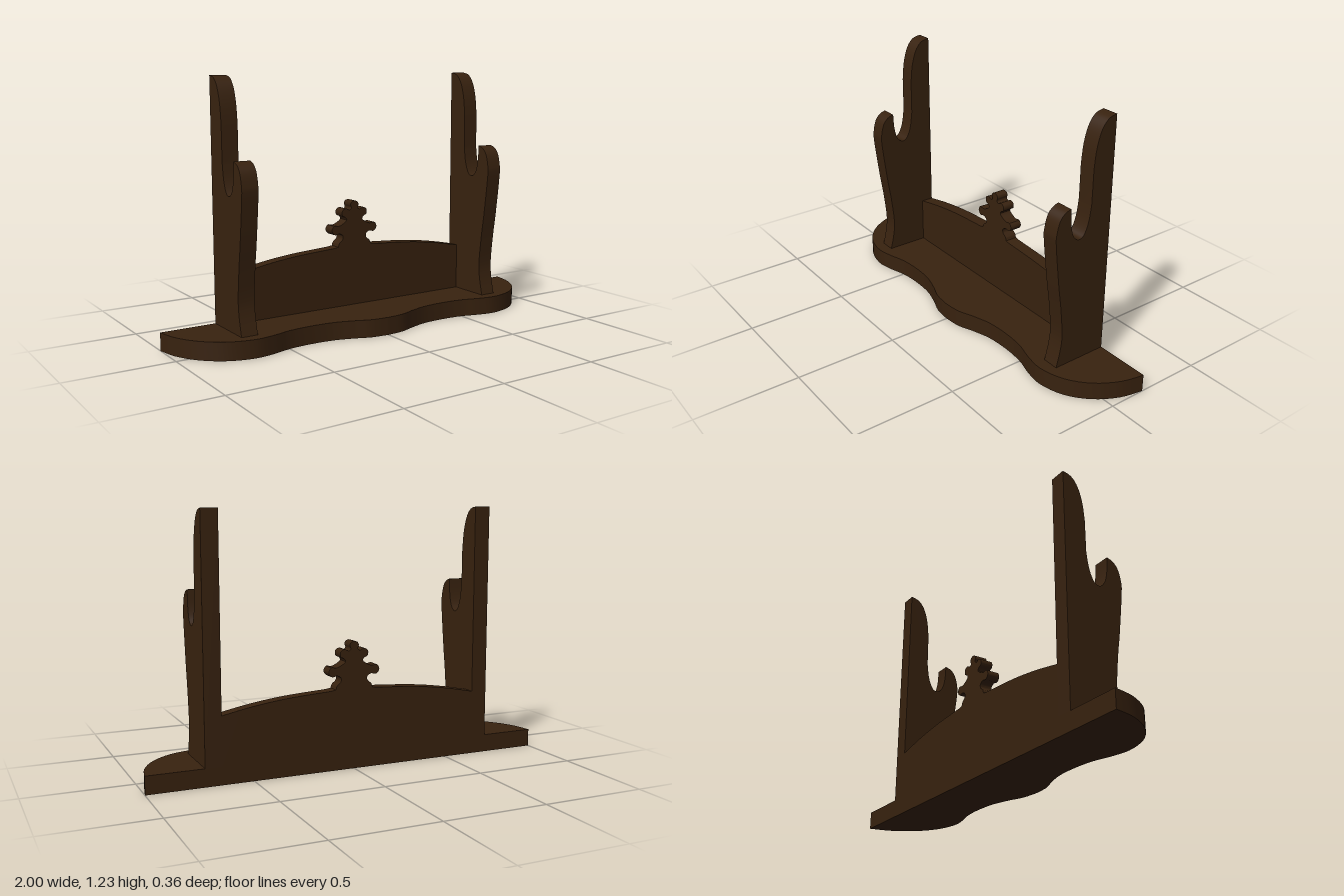
import * as THREE from 'three';
import { toCreasedNormals } from 'three/addons/utils/BufferGeometryUtils.js';

const BASE_TOP = 0.086;
const BACK = -0.18;

// Smooth curve through a few points
const smooth = (pts, n) =>
  new THREE.SplineCurve(pts.map(([x, y]) => new THREE.Vector2(x, y))).getPoints(n);

// Mirror a half outline that ends on x = 0
const mirrored = (half) => [
  ...half,
  ...half.slice(0, -1).reverse().map((p) => new THREE.Vector2(-p.x, p.y)),
];

const extrude = (points, depth) =>
  new THREE.ExtrudeGeometry(new THREE.Shape(points), { depth, bevelEnabled: false });

export function createModel() {
  const group = new THREE.Group();
  const wood = new THREE.MeshStandardMaterial({ color: 0x38220f });
  wood.name = 'dark wood';

  const add = (name, geometry) => {
    const mesh = new THREE.Mesh(toCreasedNormals(geometry, 0.6), wood);
    mesh.name = name;
    group.add(mesh);
    return mesh;
  };

  // Base board: straight back, scalloped front edge
  const baseHalf = smooth([
    [1, BACK], [0.975, -0.07], [0.91, 0.04], [0.81, 0.12], [0.69, 0.153], [0.59, 0.14],
    [0.5, 0.115], [0.39, 0.105], [0.27, 0.112], [0.17, 0.14], [0.09, 0.17], [0, 0.18],
  ], 44);
  add('base', extrude(mirrored(baseHalf), BASE_TOP).rotateX(Math.PI / 2).translate(0, BASE_TOP, 0));

  // Post side profile as (z, y): tall back horn, cradle notch, front prong, waisted foot
  const postProfile = [
    new THREE.Vector2(BACK, BASE_TOP),
    ...smooth([[0.095, BASE_TOP], [0.075, 0.17], [0.068, 0.25], [0.082, 0.39], [0.1, 0.51],
      [0.124, 0.71], [0.123, 0.765], [0.108, 0.82], [0.082, 0.85], [0.05, 0.862]], 36),
    ...smooth([[0.049, 0.861], [0.045, 0.79], [0.032, 0.735], [0.01, 0.707], [-0.013, 0.703],
      [-0.035, 0.722], [-0.055, 0.775], [-0.066, 0.85]], 24),
    ...smooth([[-0.067, 1.01], [-0.077, 1.1], [-0.1, 1.175], [-0.135, 1.218], [BACK, 1.23]], 16),
  ];
  for (const [name, x] of [['leftPost', 0.73], ['rightPost', -0.65]]) {
    add(name, extrude(postProfile, 0.08).rotateY(-Math.PI / 2).translate(x, 0, 0));
  }

  // Back panel with arched top and a leafy crest in one outline
  const panelHalf = [
    new THREE.Vector2(0.65, BASE_TOP),
    ...smooth([[0.65, 0.317], [0.5, 0.346], [0.33, 0.368], [0.12, 0.382]], 14),
    ...smooth([
      [0.095, 0.386], [0.088, 0.405], [0.07, 0.42], [0.068, 0.44], [0.088, 0.452],
      [0.115, 0.448], [0.131, 0.47], [0.118, 0.493], [0.093, 0.49], [0.07, 0.498],
      [0.046, 0.515], [0.052, 0.53], [0.07, 0.54], [0.07, 0.564], [0.05, 0.575],
      [0.03, 0.566], [0.018, 0.575], [0.023, 0.592], [0.016, 0.606], [0, 0.611],
    ], 60),
  ];
  add('backPanel', extrude(mirrored(panelHalf), 0.062).translate(0, 0, BACK));

  return group;
}
